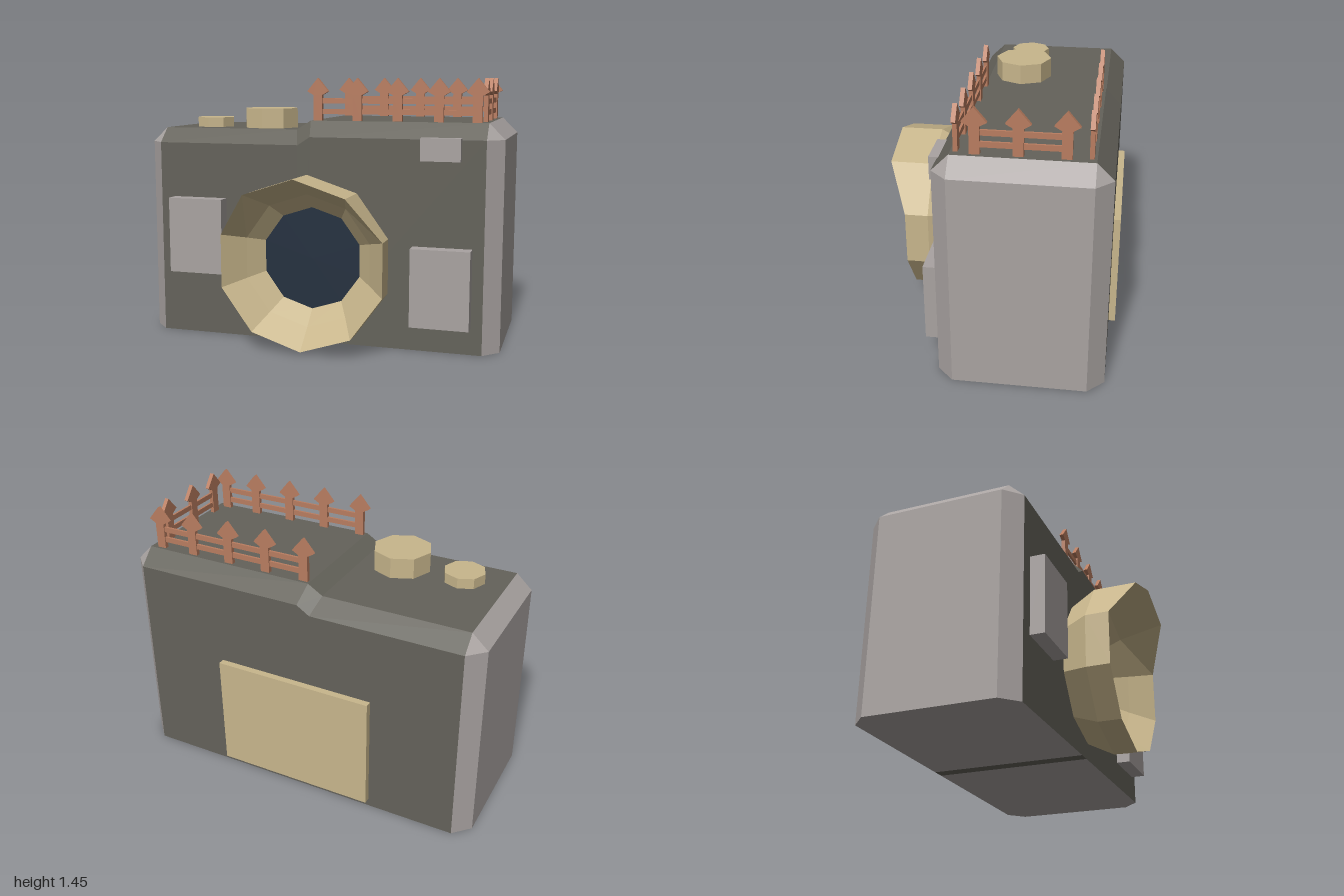
import * as THREE from 'three';

const material = (name, color) => {
  const m = new THREE.MeshStandardMaterial({ color, flatShading: true });
  m.name = name;
  return m;
};

// Flat-shaded geometry from a list of triangle corners
function fromTriangles(corners) {
  const g = new THREE.BufferGeometry();
  g.setAttribute('position', new THREE.Float32BufferAttribute(corners.flat(), 3));
  g.computeVertexNormals();
  return g;
}

// Adds a convex face as a fan, turned to face away from the body's centre
function addFace(list, pts, centre) {
  const [a, b, c] = pts.map((p) => new THREE.Vector3(...p));
  const normal = b.clone().sub(a).cross(c.clone().sub(a));
  const ordered = normal.dot(a.clone().sub(centre)) < 0 ? [...pts].reverse() : pts;
  for (let i = 1; i < ordered.length - 1; i++) list.push(ordered[0], ordered[i], ordered[i + 1]);
}

export function createModel() {
  const model = new THREE.Group();
  model.name = 'camera';
  const dark = material('darkBody', 0x64625a);
  const grey = material('paleGrey', 0xa9a3a1);
  const tan = material('tan', 0xc8b68c);
  const navy = material('navyGlass', 0x24303f);
  const clay = material('terracotta', 0xb97d60);

  const add = (name, geometry, mat, x = 0, y = 0, z = 0, parent = model) => {
    const mesh = new THREE.Mesh(geometry, mat);
    mesh.name = name;
    mesh.position.set(x, y, z);
    parent.add(mesh);
    return mesh;
  };

  // Body: chamfered box whose top steps up along x
  const zc = -0.167, outer = 0.425, inner = 0.34;
  const centre = new THREE.Vector3(0, 0.55, zc);
  const low = [[-0.915, 1.085], [-0.1, 1.085], [-0.03, 1.13], [0.915, 1.13]];
  const high = [[-0.915, 1.165], [-0.13, 1.165], [-0.05, 1.215], [0.915, 1.215]];
  const shell = [], sides = [];
  for (let i = 0; i < 3; i++) {
    const [l0, l1, h0, h1] = [low[i], low[i + 1], high[i], high[i + 1]];
    for (const s of [1, -1]) {
      const zo = zc + s * outer, zi = zc + s * inner;
      addFace(shell, [[l0[0], 0, zo], [l1[0], 0, zo], [...l1, zo], [...l0, zo]], centre);
      addFace(shell, [[...l0, zo], [...l1, zo], [...h1, zi], [...h0, zi]], centre);
    }
    addFace(shell, [[...h0, zc + inner], [...h1, zc + inner], [...h1, zc - inner], [...h0, zc - inner]], centre);
    // Underside, with a dark band below the step
    addFace(i === 1 ? shell : sides, [[l0[0], 0, zc + outer], [l1[0], 0, zc + outer],
      [l1[0], 0, zc - outer], [l0[0], 0, zc - outer]], centre);
  }
  for (const [x, xi, yl, yh] of [[-1, -0.915, 1.085, 1.165], [1, 0.915, 1.13, 1.215]]) {
    const f = zc + inner, b = zc - inner;
    addFace(sides, [[x, 0, f], [x, 0, b], [x, yl, b], [x, yl, f]], centre);
    addFace(sides, [[x, yl, f], [x, yl, b], [xi, yh, b], [xi, yh, f]], centre);
    addFace(sides, [[x, 0, f], [x, 0, b], [xi, 0, zc - outer], [xi, 0, zc + outer]], centre);
    for (const s of [1, -1]) {
      const zo = zc + s * outer, zi = zc + s * inner;
      addFace(sides, [[x, 0, zi], [xi, 0, zo], [xi, yl, zo], [x, yl, zi]], centre);
      addFace(sides, [[x, yl, zi], [xi, yl, zo], [xi, yh, zi]], centre);
    }
  }
  add('bodyShell', fromTriangles(shell), dark);
  add('bodySides', fromTriangles(sides), grey);

  // Lens barrel: ten-sided rings, the rim pulled forward at the top as a hood
  const rings = [[0.385, 0.25], [0.463, 0.4], [0.463, 0.525], [0.36, 0.4], [0.278, 0.31]];
  const ringPoint = (i, j) => {
    const [r, z] = rings[i], k = (j + 10) % 10, a = (k * Math.PI) / 5;
    const hood = i === 2 && (k <= 1 || k === 9) ? 0.105 : 0;
    return [r * Math.sin(a), r * Math.cos(a), z + hood];
  };
  const barrel = [];
  for (let i = 0; i < rings.length - 1; i++) {
    for (let j = 0; j < 10; j++) {
      const [a, b, c, d] = [ringPoint(i, j), ringPoint(i + 1, j), ringPoint(i + 1, j + 1), ringPoint(i, j + 1)];
      barrel.push(a, b, d, b, c, d);
    }
  }
  add('lensBarrel', fromTriangles(barrel), tan, 0, 0.48, 0);
  add('lensGlass', new THREE.CircleGeometry(0.28, 10, Math.PI / 2), navy, 0, 0.48, 0.311);

  // Raised panels on the front and back
  const panel = (name, mat, x0, x1, y0, y1, z0, z1) =>
    add(name, new THREE.BoxGeometry(x1 - x0, y1 - y0, z1 - z0), mat, (x0 + x1) / 2, (y0 + y1) / 2, (z0 + z1) / 2);
  panel('rightGrip', grey, -0.835, -0.52, 0.36, 0.78, 0.24, 0.335);
  panel('leftGrip', grey, 0.54, 0.855, 0.145, 0.565, 0.24, 0.335);
  panel('viewfinder', grey, 0.58, 0.79, 1.02, 1.14, 0.2, 0.297);
  panel('backScreen', tan, -0.44, 0.44, 0.045, 0.675, -0.628, -0.58);

  // Eight-sided dials
  for (const [name, x, r, h] of [['smallDial', -0.695, 0.11, 0.055], ['largeDial', -0.348, 0.157, 0.11]])
    add(name, new THREE.CylinderGeometry(r, r, h, 8), tan, x, 1.165 + h / 2, -0.02);

  // Picket fence runs
  const picket = new THREE.Shape([[-0.025, 0], [0.025, 0], [0.025, 0.138], [0.06, 0.158], [0, 0.23],
    [-0.06, 0.158], [-0.025, 0.138]].map((p) => new THREE.Vector2(...p)));
  const picketGeometry = new THREE.ExtrudeGeometry(picket, { depth: 0.022, bevelEnabled: false });
  picketGeometry.translate(0, 0, -0.011);
  const fence = (name, posts, x, z, turn) => {
    const run = new THREE.Group();
    run.name = name;
    run.position.set(x, 1.215, z);
    run.rotation.y = turn;
    for (const p of posts) add('picket', picketGeometry, clay, p, 0, 0, run);
    const first = posts[0], last = posts[posts.length - 1];
    for (const y of [0.049, 0.107])
      add('rail', new THREE.BoxGeometry(last - first, 0.028, 0.012), clay, (first + last) / 2, y, 0, run);
    model.add(run);
  };
  const longPosts = [-0.015, 0.207, 0.428, 0.65, 0.852];
  fence('frontFence', longPosts, 0, 0.147, 0);
  fence('backFence', longPosts, 0, -0.482, 0);
  fence('sideFence', [-0.055, 0.148, 0.37], 0.885, 0, Math.PI / 2);

  return model;
}
